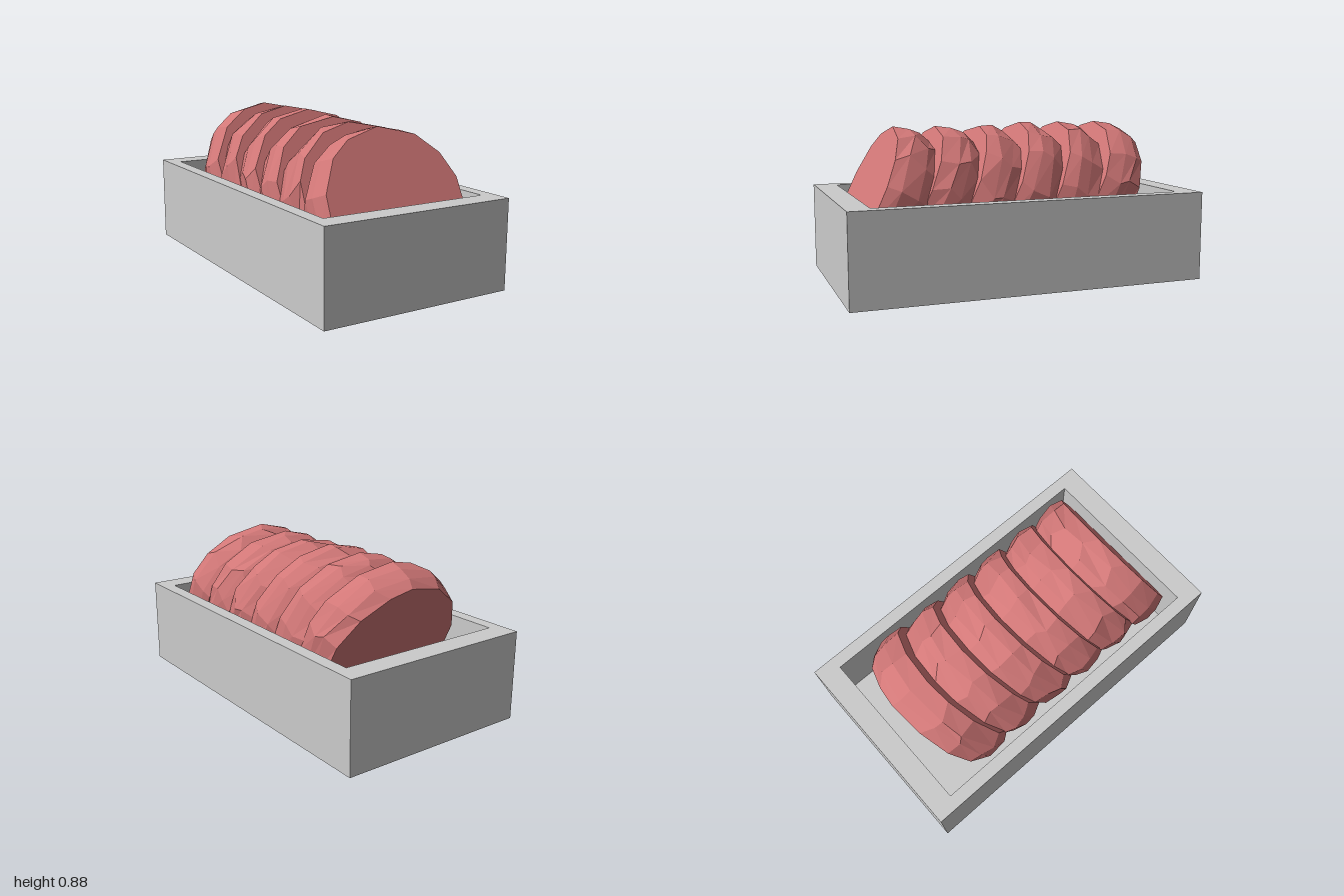
import * as THREE from 'three';

const SIDES = 14;
const LEAN = THREE.MathUtils.degToRad(65);

// small seeded random generator, returns -1..1
function seeded(seed) {
  let s = seed * 7919 + 17;
  return () => {
    s = (s * 16807) % 2147483647;
    return (s / 2147483647) * 2 - 1;
  };
}

// thick faceted disc: flat ends, uneven bulging rim
function sliceGeometry(seed) {
  const profile = [[0, -0.115], [0.42, -0.115], [0.443, -0.04], [0.445, 0.035], [0.418, 0.115], [0, 0.115]];
  const geo = new THREE.LatheGeometry(profile.map(([r, y]) => new THREE.Vector2(r, y)), SIDES);
  const rnd = seeded(seed);
  for (let k = 0; k < 5; k++) rnd();
  const jitter = Array.from({ length: SIDES * profile.length }, () => [rnd(), rnd(), rnd()]);
  const pos = geo.attributes.position;
  for (let seg = 0; seg <= SIDES; seg++) {
    profile.forEach(([r, y], row) => {
      if (r === 0) return;
      const [a, b, c] = jitter[(seg % SIDES) * profile.length + row];
      const middle = row === 2 || row === 3;
      const phi = ((seg + a * 0.2) / SIDES) * Math.PI * 2;
      const radius = r + b * 0.006;
      pos.setXYZ(seg * profile.length + row,
        radius * Math.sin(phi), y + (middle ? c * 0.02 : 0), radius * Math.cos(phi));
    });
  }
  geo.rotateX(LEAN);
  geo.computeVertexNormals();
  return geo;
}

function rect(path, w, d) {
  path.moveTo(-w, -d);
  path.lineTo(w, -d);
  path.lineTo(w, d);
  path.lineTo(-w, d);
  path.closePath();
  return path;
}

export function createModel() {
  const model = new THREE.Group();
  model.name = 'trayOfSlices';
  const grey = new THREE.MeshStandardMaterial({ color: 0xcccccc });
  const red = new THREE.MeshStandardMaterial({ color: 0xd17777, flatShading: true });

  // open rectangular tray
  const tray = new THREE.Group();
  tray.name = 'tray';
  const outline = rect(new THREE.Shape(), 0.56, 1);
  outline.holes.push(rect(new THREE.Path(), 0.487, 0.872));
  const walls = new THREE.Mesh(
    new THREE.ExtrudeGeometry(outline, { depth: 0.5, bevelEnabled: false }).rotateX(-Math.PI / 2), grey);
  walls.name = 'trayWalls';
  const floor = new THREE.Mesh(new THREE.BoxGeometry(0.974, 0.1, 1.744), grey);
  floor.name = 'trayFloor';
  floor.position.y = 0.05;
  tray.add(walls, floor);
  model.add(tray);

  // row of leaning slices
  const slices = new THREE.Group();
  slices.name = 'slices';
  for (let i = 0; i < 6; i++) {
    const slice = new THREE.Mesh(sliceGeometry(i + 1), red);
    slice.name = 'slice' + (i + 1);
    slice.position.set(0, i < 3 ? 0.444 : 0.453, 0.706 - i * 0.247);
    slices.add(slice);
  }
  model.add(slices);
  return model;
}
